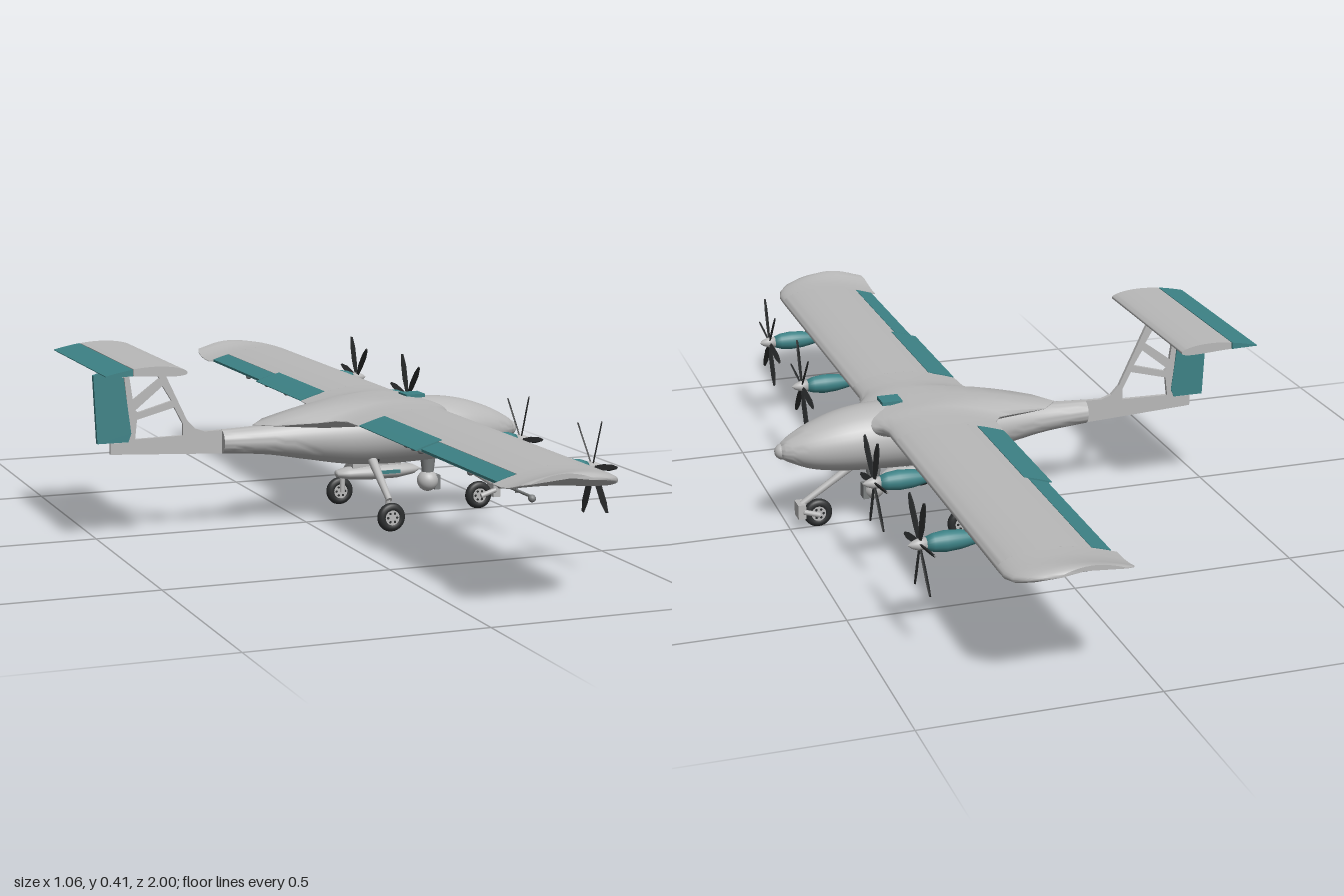
import * as THREE from 'three';
import { toCreasedNormals } from 'three/addons/utils/BufferGeometryUtils.js';

const V = (x, y, z) => new THREE.Vector3(x, y, z);

// Skin a list of closed rings and cap both ends; faces always end up pointing outward.
function loft(rings, crease = 0.7) {
  const n = rings[0].length, pts = rings.flat(), idx = [];
  for (let r = 0; r < rings.length - 1; r++) {
    for (let i = 0; i < n; i++) {
      const a = r * n + i, b = r * n + (i + 1) % n;
      idx.push(a, b, a + n, b, b + n, a + n);
    }
  }
  const last = (rings.length - 1) * n;
  [[0, true], [last, false]].forEach(([start, flip]) => {
    const c = V(0, 0, 0);
    for (let i = 0; i < n; i++) c.addScaledVector(pts[start + i], 1 / n);
    pts.push(c);
    for (let i = 0; i < n; i++) {
      const a = start + i, b = start + (i + 1) % n;
      if (flip) idx.push(pts.length - 1, b, a); else idx.push(pts.length - 1, a, b);
    }
  });
  let vol = 0;
  for (let i = 0; i < idx.length; i += 3) {
    vol += pts[idx[i]].dot(V(0, 0, 0).crossVectors(pts[idx[i + 1]], pts[idx[i + 2]]));
  }
  if (vol < 0) idx.reverse();
  const g = new THREE.BufferGeometry().setFromPoints(pts);
  g.setIndex(idx);
  return toCreasedNormals(g, crease);
}

// Airfoil ring at span z; a and b cut it between two x positions.
function foil(z, { te = 0.055, le = 0.3, y = 0.251, th = 0.037, camber = 0.012, a = te, b = le } = {}) {
  const K = 14, top = [], bottom = [];
  for (let i = 0; i <= K; i++) {
    const x = a + (b - a) * Math.sin((i / K) * Math.PI / 2);
    const c = THREE.MathUtils.clamp((le - x) / (le - te), 0, 1);
    const half = 5 * th * (0.2969 * Math.sqrt(c) - 0.126 * c - 0.3516 * c * c + 0.2843 * c ** 3 - 0.1036 * c ** 4) + 0.0008;
    const mid = y + camber * Math.sin(Math.PI * c);
    top.push(V(x, mid + half, z));
    bottom.push(V(x, mid - half, z));
  }
  return [...top, ...bottom.reverse()];
}

// Turned body lying along x, from [x, radius] points.
function turned(points, sides = 24) {
  const g = new THREE.LatheGeometry(points.map(([x, r]) => new THREE.Vector2(r, x)), sides);
  return g.rotateZ(-Math.PI / 2);
}

function rodGeo(p, q, r0, r1 = r0) {
  const d = q.clone().sub(p);
  const g = new THREE.CylinderGeometry(r1, r0, d.length(), 12);
  g.applyQuaternion(new THREE.Quaternion().setFromUnitVectors(V(0, 1, 0), d.normalize()));
  return g.translate((p.x + q.x) / 2, (p.y + q.y) / 2, (p.z + q.z) / 2);
}

function plate(points, depth, holes = []) {
  const vec = l => l.map(([x, y]) => new THREE.Vector2(x, y));
  const s = new THREE.Shape(vec(points));
  holes.forEach(h => s.holes.push(new THREE.Path(vec(h))));
  return new THREE.ExtrudeGeometry(s, { depth, bevelEnabled: false }).translate(0, 0, -depth / 2);
}

export function createModel() {
  const model = new THREE.Group();
  model.name = 'aircraft';
  const mat = (name, color) => Object.assign(new THREE.MeshStandardMaterial({ color }), { name });
  const grey = mat('light grey', 0xb9b9b9);
  const teal = mat('teal', 0x3d8286);
  const dark = mat('dark rubber', 0x2b2d2e);
  const mid = mat('mid grey', 0x7c7f80);
  const add = (name, geo, material, parent = model) => {
    const m = new THREE.Mesh(geo, material);
    m.name = name;
    parent.add(m);
    return m;
  };
  const at = (geo, x, y, z) => geo.translate(x, y, z);

  // Fuselage: x, top, bottom, half width
  const stations = [
    [-0.205, 0.229, 0.175, 0.027], [-0.1, 0.235, 0.166, 0.036], [0, 0.25, 0.148, 0.053],
    [0.1, 0.265, 0.131, 0.07], [0.2, 0.277, 0.126, 0.08], [0.3, 0.279, 0.129, 0.083],
    [0.38, 0.269, 0.134, 0.077], [0.45, 0.246, 0.145, 0.058], [0.5, 0.22, 0.165, 0.032], [0.518, 0.205, 0.176, 0.016],
  ];
  const sides = new THREE.CatmullRomCurve3(stations.map(s => V(s[0], s[1], s[2])), false, 'catmullrom');
  const widths = new THREE.CatmullRomCurve3(stations.map(s => V(s[0], s[3], 0)), false, 'catmullrom');
  const rings = [];
  for (let i = 0; i <= 40; i++) {
    const p = sides.getPoint(i / 40), w = widths.getPoint(i / 40).y, ring = [];
    for (let k = 0; k < 32; k++) {
      const t = k / 32 * Math.PI * 2;
      ring.push(V(p.x, (p.y + p.z) / 2 + Math.sin(t) * (p.y - p.z) / 2, Math.cos(t) * w));
    }
    rings.push(ring);
  }
  add('fuselage', loft(rings, 1), grey);
  add('noseTip', at(new THREE.SphereGeometry(0.018, 20, 14), 0.512, 0.19, 0), grey);
  add('roofHatch', at(new THREE.BoxGeometry(0.047, 0.008, 0.046), 0.262, 0.283, 0), teal).rotation.z = 0;

  // Wing centre section blending into the body
  const root = [
    [0, -0.13, 0.35, 0.235, 0.08], [0.05, -0.09, 0.335, 0.239, 0.073], [0.075, 0, 0.318, 0.244, 0.06],
    [0.095, 0.034, 0.306, 0.249, 0.046], [0.125, 0.052, 0.3, 0.251, 0.039], [0.183, 0.055, 0.3, 0.251, 0.037],
  ];
  const half = s => root.map(([z, te, le, y, th]) => foil(s * z, { te, le, y, th }));
  add('wingCentre', loft([...half(-1).reverse(), ...half(1).slice(1)], 1), grey);

  // Outer wings, control surfaces and everything that repeats on both sides
  const tip = [
    [0.88, 0.055, 0.3, 0.251, 0.037], [0.92, 0.055, 0.3, 0.252, 0.035], [0.95, 0.055, 0.292, 0.256, 0.03],
    [0.975, 0.057, 0.272, 0.263, 0.022], [0.992, 0.063, 0.245, 0.269, 0.013], [1, 0.08, 0.215, 0.272, 0.006],
  ];
  for (const s of [1, -1]) {
    const side = s > 0 ? 'left' : 'right';
    const span = (z0, z1, opt) => loft([foil(s * z0, opt), foil(s * z1, opt)]);
    add(side + 'Wing', span(0.183, 0.88, { a: 0.108 }), grey);
    add(side + 'WingTip', loft(tip.map(([z, te, le, y, th]) => foil(s * z, { te, le, y, th }))), grey);
    add(side + 'Flap', span(0.187, 0.503, { b: 0.116, y: 0.252, th: 0.038 }), teal);
    add(side + 'Aileron', span(0.51, 0.876, { a: 0.066, b: 0.107 }), teal);

    for (const z of [0.32, 0.66]) addEngine(side, s * z, s);

    // Underwing rails with posts
    for (const [z0, z1] of [[0.22, 0.3], [0.56, 0.85]]) {
      add(side + 'Rail', rodGeo(V(0.156, 0.213, s * z0), V(0.156, 0.213, s * z1), 0.003), mid);
      for (const z of [z0, (z0 + z1) / 2, z1]) {
        add(side + 'RailKnob', at(new THREE.SphereGeometry(0.008, 10, 8), 0.156, 0.21, s * z), mid);
      }
    }
    for (const z of [0.165, 0.22, 0.3, 0.46, 0.56, 0.705, 0.78]) {
      add(side + 'RailPost', rodGeo(V(0.156, 0.208, s * z), V(0.156, 0.25, s * z), 0.003), mid);
    }
    add(side + 'BodyStrap', rodGeo(V(0.158, 0.13, s * 0.045), V(0.158, 0.25, s * 0.078), 0.003), dark);

    // Main landing gear
    add(side + 'GearLeg', rodGeo(V(0.145, 0.145, s * 0.045), V(0.145, 0.07, s * 0.148), 0.011, 0.007), grey);
    add(side + 'GearStub', rodGeo(V(0.145, 0.078, s * 0.142), V(0.145, 0.033, s * 0.142), 0.006), grey);
    addWheel(side + 'Wheel', 0.145, s * 0.16);
  }

  function addEngine(side, z, s) {
    const e = new THREE.Group();
    e.name = side + 'Engine';
    e.position.set(0, 0.222, z);
    model.add(e);
    add('nacelle', turned([[0.25, 0], [0.252, 0.007], [0.275, 0.014], [0.305, 0.02], [0.335, 0.022], [0.36, 0.019], [0.375, 0.014], [0.375, 0]]), teal, e);
    add('spinner', turned([[0.375, 0], [0.375, 0.013], [0.392, 0.012], [0.405, 0.007], [0.413, 0]]), grey, e);
    add('exhaust', turned([[0.18, 0], [0.18, 0.009], [0.2, 0.012], [0.25, 0.009], [0.26, 0]], 14), dark, e);
    add('pylon', at(new THREE.BoxGeometry(0.09, 0.03, 0.012), 0.25, 0.018, 0), mid, e);
    // Six pitched blades in the plane across the flight direction
    const blade = plate([[-0.003, 0.008], [0.003, 0.008], [0.007, 0.045], [0.006, 0.085], [0.002, 0.109], [-0.003, 0.107], [-0.007, 0.08], [-0.006, 0.04]], 0.003);
    for (let i = 0; i < 6; i++) {
      const g = blade.clone().rotateY(Math.PI / 2 - s * 0.55).rotateX(s * 0.35 + i * Math.PI / 3);
      add('propellerBlade', g.translate(0.388, 0, 0), dark, e);
    }
  }

  function addWheel(name, x, z) {
    const w = new THREE.Group();
    w.name = name;
    w.position.set(x, 0.033, z);
    model.add(w);
    add('tyre', new THREE.TorusGeometry(0.0225, 0.0105, 14, 32), dark, w);
    add('hub', new THREE.CylinderGeometry(0.017, 0.017, 0.018, 24).rotateX(Math.PI / 2), grey, w);
    for (let i = 0; i < 6; i++) {
      const t = i * Math.PI / 3;
      add('hubHole', at(new THREE.CylinderGeometry(0.003, 0.003, 0.019, 8).rotateX(Math.PI / 2), 0.011 * Math.cos(t), 0.011 * Math.sin(t), 0), dark, w);
    }
  }

  // Nose gear
  add('noseStrut', rodGeo(V(0.35, 0.138, 0), V(0.472, 0.058, 0), 0.009, 0.007), grey);
  for (const s of [1, -1]) {
    add('noseFork', rodGeo(V(0.472, 0.045, s * 0.016), V(0.435, 0.033, s * 0.016), 0.006), grey);
  }
  add('noseForkBlock', at(new THREE.BoxGeometry(0.018, 0.034, 0.038), 0.475, 0.045, 0), grey);
  addWheel('noseWheel', 0.435, 0);

  // Belly pod and camera ball
  const pod = turned([[0.073, 0], [0.075, 0.008], [0.1, 0.014], [0.15, 0.018], [0.22, 0.018], [0.265, 0.011], [0.285, 0]]);
  add('bellyPod', pod.scale(1, 1, 1.7).translate(0, 0.108, 0), grey);
  add('podMount', at(new THREE.BoxGeometry(0.12, 0.03, 0.03), 0.17, 0.123, 0), grey);
  for (const s of [1, -1]) add('podStripe', at(new THREE.BoxGeometry(0.064, 0.008, 0.006), 0.189, 0.11, s * 0.029), teal);
  add('cameraMount', at(new THREE.CylinderGeometry(0.018, 0.014, 0.035, 20), 0.304, 0.116, 0), mid);
  add('cameraBall', at(new THREE.SphereGeometry(0.025, 24, 16), 0.304, 0.077, 0), grey);
  add('cameraLens', at(new THREE.BoxGeometry(0.014, 0.034, 0.026), 0.324, 0.073, 0), mid);

  // Flat boom with cut-out fin
  add('tailFin', plate([
    [-0.2, 0.229], [-0.245, 0.228], [-0.268, 0.236], [-0.287, 0.257], [-0.355, 0.402], [-0.455, 0.402],
    [-0.445, 0.366], [-0.431, 0.36], [-0.418, 0.23], [-0.425, 0.214], [-0.465, 0.214], [-0.465, 0.189], [-0.2, 0.175],
  ], 0.009, [
    [[-0.423, 0.388], [-0.37, 0.388], [-0.35, 0.354], [-0.412, 0.308]],
    [[-0.406, 0.286], [-0.343, 0.337], [-0.322, 0.302], [-0.4, 0.28]],
    [[-0.403, 0.264], [-0.316, 0.287], [-0.296, 0.248], [-0.296, 0.222], [-0.408, 0.22]],
  ]), grey);
  add('rudder', plate([[-0.502, 0.368], [-0.455, 0.382], [-0.447, 0.364], [-0.433, 0.36], [-0.417, 0.234], [-0.424, 0.215], [-0.495, 0.215]], 0.012), teal);

  // Tailplane and elevator
  const tail = { te: -0.533, le: -0.352, y: 0.398, th: 0.02, camber: 0.006 };
  const across = (z, cut) => loft([foil(-z, { ...tail, ...cut }), foil(z, { ...tail, ...cut })]);
  add('tailplane', across(0.217, { a: -0.471 }), grey);
  add('elevator', across(0.219, { b: -0.473 }), teal);
  return model;
}
